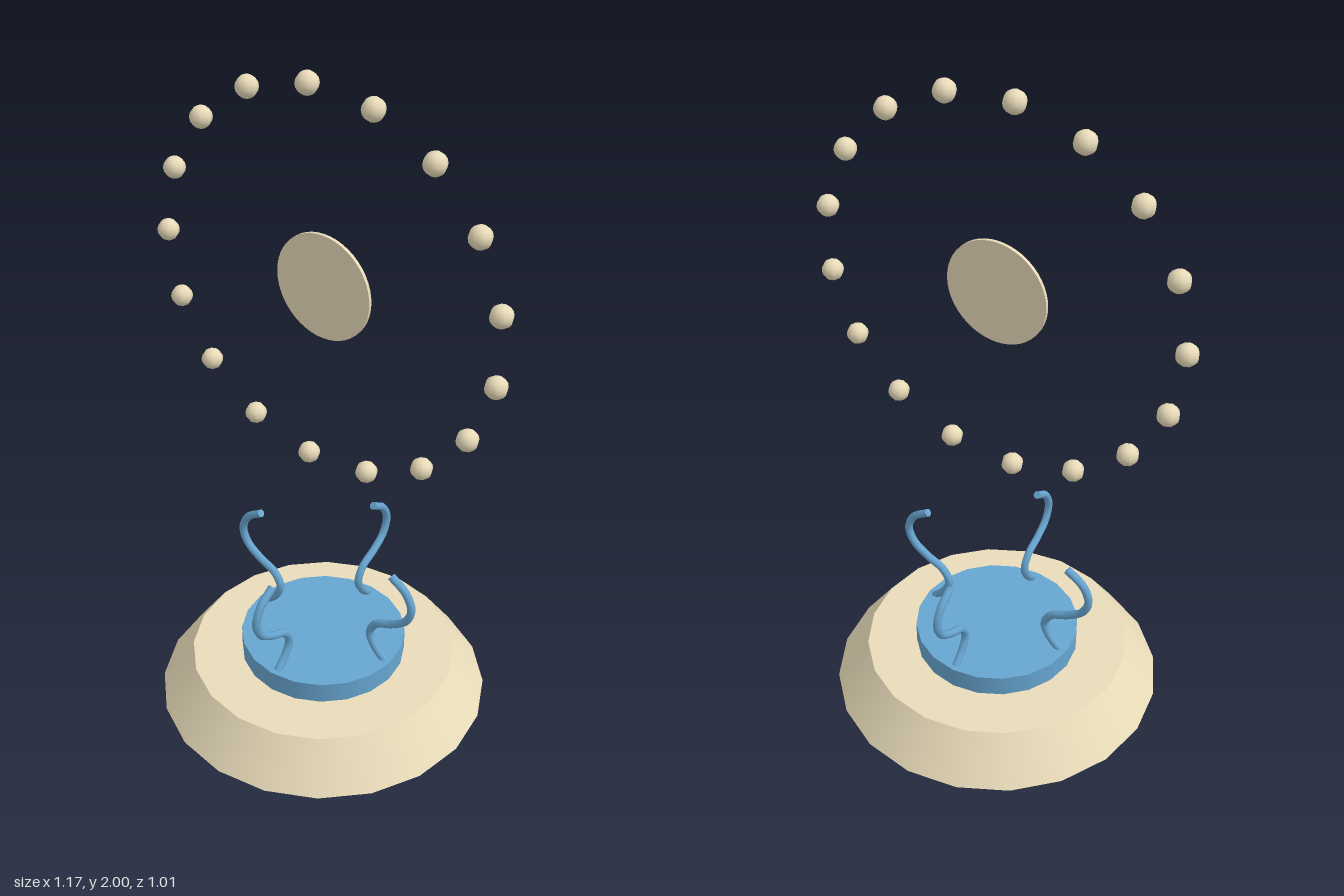
import * as THREE from 'three';

export function createModel() {
  const model = new THREE.Group();
  const cream = new THREE.MeshStandardMaterial({ color: 0xe8dbb9 });
  const blue = new THREE.MeshStandardMaterial({ color: 0x67a5d0 });

  const add = (name, geometry, material, x = 0, y = 0, z = 0, parent = model) => {
    const mesh = new THREE.Mesh(geometry, material);
    mesh.name = name;
    mesh.position.set(x, y, z);
    parent.add(mesh);
    return mesh;
  };
  const cx = 0.003, cz = -0.002;

  // Tapered foot and the round plate on it
  add('base', new THREE.CylinderGeometry(0.407, 0.507, 0.138, 20), cream, cx, 0.069, cz);
  add('plate', new THREE.CylinderGeometry(0.253, 0.253, 0.068, 20), blue, cx, 0.171, cz);

  // Four S-shaped prongs standing around the plate
  const path = new THREE.CatmullRomCurve3([
    [0.23, 0.2], [0.192, 0.24], [0.174, 0.285], [0.197, 0.328], [0.255, 0.358],
    [0.303, 0.395], [0.321, 0.445], [0.3, 0.498], [0.246, 0.537],
  ].map(([x, y]) => new THREE.Vector3(x, y, 0)));
  const prongGeometry = new THREE.TubeGeometry(path, 40, 0.0125, 8);
  const prongs = new THREE.Group();
  prongs.name = 'prongs';
  model.add(prongs);
  for (let i = 0; i < 4; i++) {
    const alongX = i % 2 === 0;
    const prong = new THREE.Group();
    prong.name = 'prong';
    prong.position.set(alongX ? 0.004 : 0.008, 0, alongX ? -0.006 : cz);
    prong.rotation.y = i * Math.PI / 2;
    prongs.add(prong);
    add('prongTube', prongGeometry, blue, 0, 0, 0, prong);
    // Flat caps on both ends of the tube
    for (const t of [0, 1]) {
      const p = path.getPointAt(t);
      const cap = add('prongEnd', new THREE.CircleGeometry(0.0125, 8), blue, p.x, p.y, 0, prong);
      const outward = path.getTangentAt(t).multiplyScalar(t ? 1 : -1);
      cap.quaternion.setFromUnitVectors(new THREE.Vector3(0, 0, 1), outward);
    }
  }

  // Thin upright disc floating in the middle of the ring
  const disc = add('disc', new THREE.CylinderGeometry(0.155, 0.155, 0.01, 48), cream, cx, 1.411, cz);
  disc.rotation.x = Math.PI / 2;

  // Ring of seventeen beads
  const beads = new THREE.Group();
  beads.name = 'beadRing';
  beads.position.set(cx, 1.411, cz);
  model.add(beads);
  const beadGeometry = new THREE.SphereGeometry(0.032, 8, 8);
  for (let i = 0; i < 17; i++) {
    const a = Math.PI + i * Math.PI * 2 / 17;
    add('bead', beadGeometry, cream, 0.56 * Math.cos(a), 0.56 * Math.sin(a), 0, beads);
  }

  return model;
}
